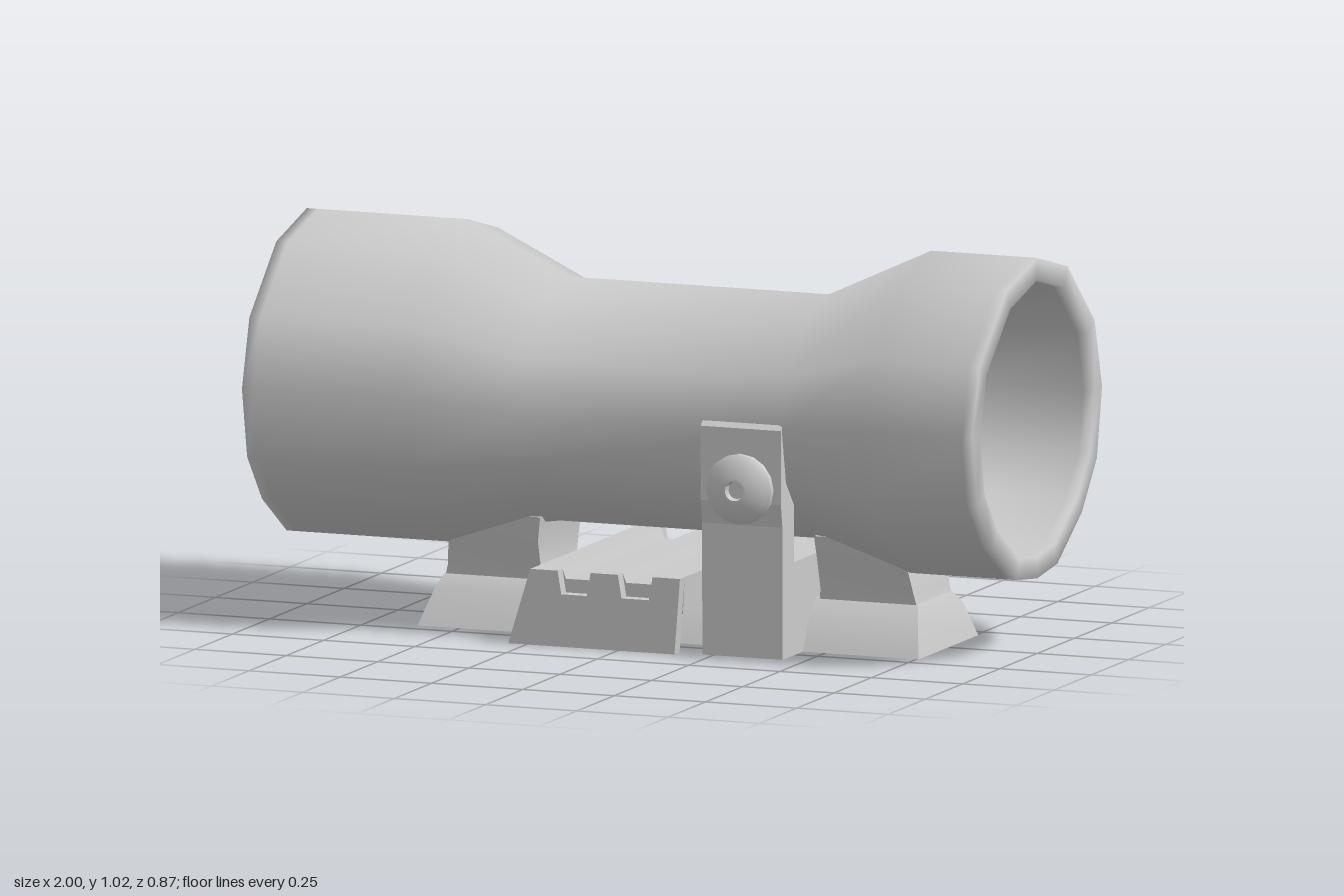
import * as THREE from 'three';
import { toCreasedNormals } from 'three/addons/utils/BufferGeometryUtils.js';

const material = new THREE.MeshStandardMaterial({ color: 0xcccccc });

function add(group, name, geometry) {
  const mesh = new THREE.Mesh(geometry, material);
  mesh.name = name;
  group.add(mesh);
  return mesh;
}

// Joins rings of points; each ring has the same number of points.
function loft(rings, { wrap = false, caps = false } = {}) {
  const n = rings[0].length, index = [];
  const last = wrap ? rings.length : rings.length - 1;
  for (let i = 0; i < last; i++) {
    const p = i * n, q = ((i + 1) % rings.length) * n;
    for (let j = 0; j < n; j++) {
      const k = (j + 1) % n;
      index.push(p + j, p + k, q + j, p + k, q + k, q + j);
    }
  }
  if (caps) {
    const top = (rings.length - 1) * n;
    for (let j = 1; j < n - 1; j++) index.push(0, j + 1, j, top, top + j, top + j + 1);
  }
  const g = new THREE.BufferGeometry();
  g.setAttribute('position', new THREE.Float32BufferAttribute(rings.flat(2), 3));
  g.setIndex(index);
  g.computeVertexNormals();
  return g;
}

function extrude(points, depth, hole) {
  const toShape = (p) => p.map(([x, y]) => new THREE.Vector2(x, y));
  const shape = new THREE.Shape(toShape(points));
  if (hole) shape.holes.push(new THREE.Path(toShape(hole)));
  return new THREE.ExtrudeGeometry(shape, { depth, bevelEnabled: false }).translate(0, 0, -depth / 2);
}

const mirrorX = (half) => [...half, ...half.map(([x, y]) => [-x, y]).reverse()];

// Hollow faceted body: unit cross-section as [z, y], top to bottom
function tubeGeometry() {
  const half = [[0.47, 0.87], [0.885, 0.465], [1, 0.035], [0.92, -0.4], [0.69, -0.7], [0.31, -0.96]];
  const section = [[0, 1], ...half, [0, -1], ...half.map(([z, y]) => [-z, y]).reverse()];
  // x, centre y, radius z, radius y
  const stations = [
    [-1, 0.605, 0.435, 0.412], [-0.97, 0.605, 0.435, 0.412], [-0.56, 0.605, 0.435, 0.412],
    [-0.28, 0.576, 0.337, 0.311], [0.43, 0.576, 0.337, 0.311],
    [0.71, 0.605, 0.435, 0.412], [0.97, 0.605, 0.435, 0.412], [1, 0.605, 0.435, 0.412],
    [1, 0.604, 0.383, 0.356], [0.97, 0.604, 0.383, 0.356], [0.71, 0.604, 0.38, 0.354],
    [0.43, 0.604, 0.27, 0.239], [-0.28, 0.604, 0.27, 0.239],
    [-0.56, 0.604, 0.38, 0.354], [-0.97, 0.604, 0.383, 0.356], [-1, 0.604, 0.383, 0.356],
  ];
  const rings = stations.map(([x, cy, rz, ry]) => section.map(([z, y]) => [x, cy + y * ry, z * rz]));
  return loft(rings, { wrap: true });
}

// Stack of rectangles: y, x min, x max, half depth
function stackGeometry(levels) {
  const rings = levels.map(([y, a, b, z]) => [[a, y, z], [b, y, z], [b, y, -z], [a, y, -z]]);
  return toCreasedNormals(loft(rings, { caps: true }), 0.75);
}

// Toothed outline, from the bottom left corner
function toothed(bottom, notch, bottomLeft, bottomRight) {
  const points = [[bottomLeft, bottom], [bottomRight, bottom]];
  for (const x of [0.095, -0.075, -0.24]) {
    if (x < 0.09) points.push([x + 0.085, notch]);
    points.push([x + 0.075, 0.195], [x, 0.195]);
    if (x > -0.2) points.push([x - 0.01, notch]);
  }
  return points;
}

export function createModel() {
  const model = new THREE.Group();
  model.name = 'tubeSight';

  add(model, 'tube', tubeGeometry());

  // Base foot and the two necks that carry the tube
  add(model, 'baseFoot', stackGeometry([
    [0, -0.615, 0.757, 0.2], [0.09, -0.588, 0.735, 0.152], [0.125, -0.575, 0.72, 0.115],
  ]));
  add(model, 'rearNeck', stackGeometry([
    [0.11, -0.575, -0.3, 0.115], [0.15, -0.565, -0.31, 0.118], [0.225, -0.555, -0.31, 0.14],
    [0.29, -0.5, -0.3, 0.15],
  ]));
  add(model, 'frontNeck', stackGeometry([
    [0.11, 0.45, 0.72, 0.115], [0.15, 0.455, 0.71, 0.118], [0.225, 0.455, 0.7, 0.14],
    [0.29, 0.45, 0.65, 0.15],
  ]));

  // Clamp: solid foot, two arms and a strap crossing the inside of the tube
  const clampOutline = mirrorX([
    [0.335, 0], [0.337, 0.34], [0.347, 0.4], [0.347, 0.59], [0.335, 0.6], [0.265, 0.66], [0.165, 0.678],
  ]);
  const clampHole = mirrorX([[0.26, 0.24], [0.26, 0.56], [0.23, 0.6], [0.13, 0.61]]);
  const clamp = add(model, 'clamp', extrude(clampOutline, 0.22, clampHole));
  clamp.rotation.y = Math.PI / 2;
  clamp.position.x = 0.33;

  // Toothed rail: grooved deck with a deeper-cut panel on each side
  add(model, 'railDeck', extrude(toothed(0.1, 0.17, -0.27, 0.165), 0.662));
  for (const side of [1, -1]) {
    const panel = add(model, side > 0 ? 'frontRailPanel' : 'backRailPanel',
      extrude(toothed(0, 0.135, -0.3, 0.155), 0.034));
    panel.position.z = side * 0.346;
  }

  // Clamp knobs, each with a small socket at the tip
  const knobProfile = [
    [0.09, -0.02], [0.09, 0.022], [0.078, 0.034], [0.032, 0.053], [0.025, 0.053], [0.022, 0.035], [0, 0.035],
  ].map(([r, h]) => new THREE.Vector2(r, h));
  const knobGeometry = toCreasedNormals(new THREE.LatheGeometry(knobProfile, 16), 0.6);
  for (const side of [1, -1]) {
    const knob = add(model, side > 0 ? 'frontKnob' : 'backKnob', knobGeometry);
    knob.rotation.x = side * Math.PI / 2;
    knob.position.set(0.33, 0.435, side * 0.34);
  }

  return model;
}
